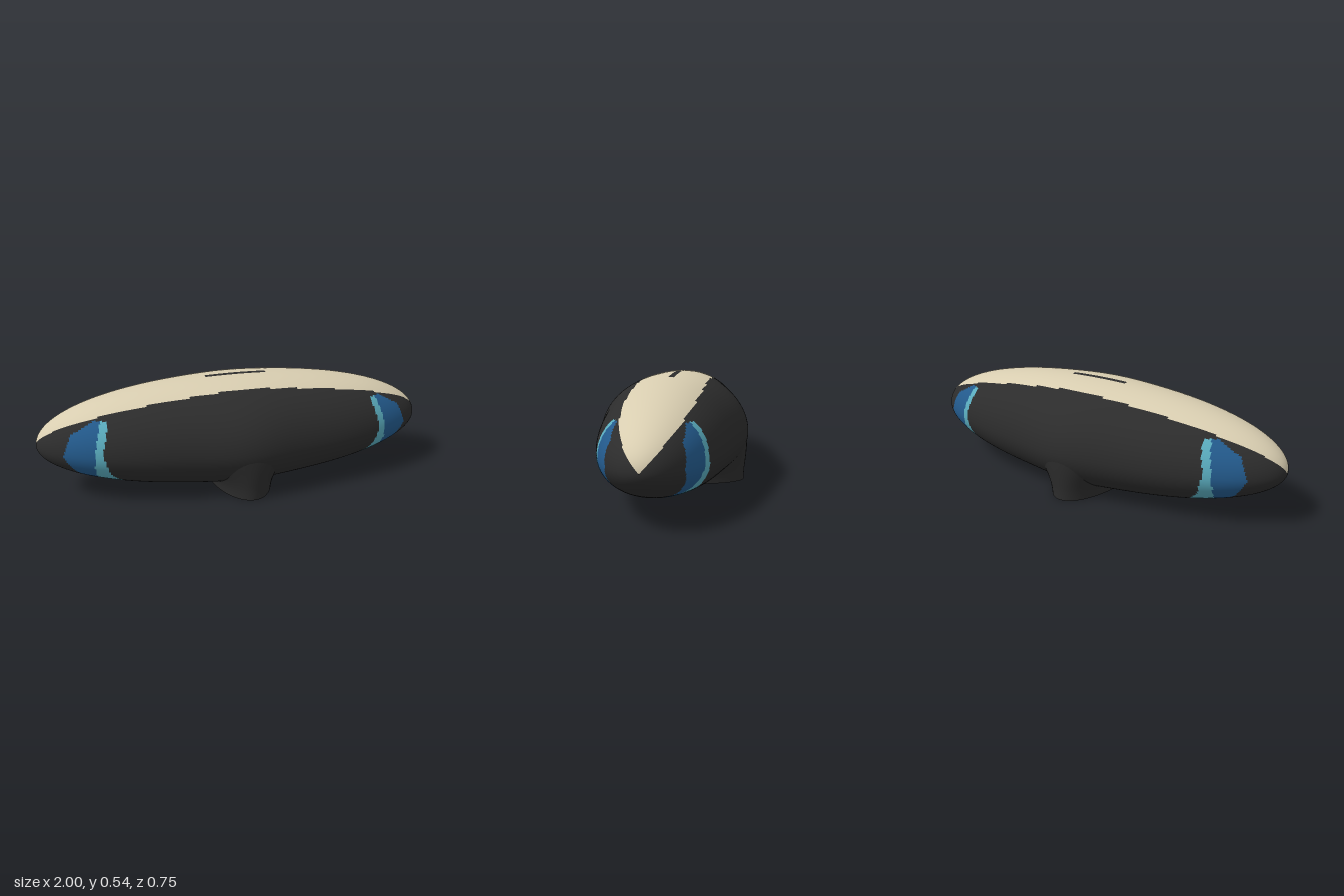
import * as THREE from 'three';

const mat = (name, color) => {
  const m = new THREE.MeshStandardMaterial({ color });
  m.name = name;
  return m;
};

// Piecewise linear lookup through [input, output] pairs
function lookup(pts, v) {
  if (v <= pts[0][0]) return pts[0][1];
  for (let i = 1; i < pts.length; i++) {
    const [a, p] = pts[i - 1], [b, q] = pts[i];
    if (v <= b) return p + (q - p) * (v - a) / (b - a);
  }
  return pts[pts.length - 1][1];
}

// Tube-like grid closed around v; pick(centre) gives the material slot of each cell
function loft(nu, nv, point, pick, slots) {
  const pos = [], buckets = Array.from({ length: slots }, () => []);
  for (let i = 0; i <= nu; i++)
    for (let j = 0; j < nv; j++) pos.push(...point(i / nu, (j / nv) * Math.PI * 2));
  for (let i = 0; i < nu; i++)
    for (let j = 0; j < nv; j++) {
      const k = (j + 1) % nv;
      const a = i * nv + j, b = a + nv, c = (i + 1) * nv + k, d = i * nv + k;
      const mid = point((i + 0.5) / nu, ((j + 0.5) / nv) * Math.PI * 2);
      buckets[pick(mid)].push(a, b, c, a, c, d);
    }
  const geo = new THREE.BufferGeometry();
  geo.setAttribute('position', new THREE.Float32BufferAttribute(pos, 3));
  geo.setIndex(buckets.flat());
  let start = 0;
  buckets.forEach((b, i) => { geo.addGroup(start, b.length, i); start += b.length; });
  geo.computeVertexNormals();
  return geo;
}

// Long oval hull, slightly pinched outward at its waist
function hullPoint(u, phi) {
  const t = (u - 0.5) * Math.PI, x = Math.sin(t), c = Math.max(Math.cos(t), 0.004);
  const halfDepth = c * (0.338 + 0.037 * Math.exp(-((x / 0.22) ** 2)));
  const s = Math.sin(phi);
  const y = 0.242 + 0.015 * x * x + c * s * (s > 0 ? 0.298 : 0.238);
  return [x, y, halfDepth * Math.cos(phi)];
}

// Edges of the side bands: distance from the middle at each height
const paleInner = [[0.03, 0.47], [0.07, 0.58], [0.16, 0.67], [0.27, 0.7], [0.41, 0.665]];
const blueInner = [[0.06, 0.69], [0.12, 0.725], [0.2, 0.74], [0.3, 0.73], [0.41, 0.7]];
const blueOuter = [[0.07, 0.72], [0.1, 0.75], [0.17, 0.83], [0.25, 0.88], [0.35, 0.84], [0.41, 0.73]];

// 0 shell, 1 top panel, 2 deep blue band, 3 pale blue band
function hullColour([x, y, z]) {
  const ax = Math.abs(x), az = Math.abs(z);
  if (y > 0.258 && az < 0.17 * Math.sqrt(1 - ax ** 3))
    return ax < 0.16 && az < 0.012 ? 0 : 1;
  if (az < 0.048 || y > 0.41 || y < 0.03) return 0;
  if (ax < lookup(paleInner, y) || ax > lookup(blueOuter, y)) return 0;
  return ax > lookup(blueInner, y) ? 2 : 3;
}

// Foot outline at each height: y, half width, half depth
const footRings = [[0, 0.16, 0.355], [0.03, 0.165, 0.356], [0.06, 0.176, 0.358], [0.1, 0.2, 0.363],
  [0.14, 0.24, 0.367], [0.18, 0.29, 0.37], [0.21, 0.33, 0.371]];

export function createModel() {
  const shell = mat('charcoal', 0x2c2c2c);
  const cream = mat('cream', 0xd8cdb0);
  const blue = mat('deep blue', 0x235a8c);
  const pale = mat('pale blue', 0x5aacbe);
  const model = new THREE.Group();
  model.name = 'ovalHull';
  const add = (name, geo, material) => {
    const mesh = new THREE.Mesh(geo, material);
    mesh.name = name;
    model.add(mesh);
    return mesh;
  };

  // Hull with top panel and side bands
  add('hull', loft(240, 160, hullPoint, hullColour, 4), [shell, cream, blue, pale]);

  // Flared oval foot blending into the underside
  const n = footRings.length - 1;
  const footPoint = (u, a) => {
    const f = u * n, i = Math.min(Math.floor(f), n - 1);
    const [y, rx, rz] = footRings[i].map((v, k) => v + (footRings[i + 1][k] - v) * (f - i));
    return [rx * Math.cos(a), y, rz * Math.sin(a)];
  };
  add('foot', loft(n * 2, 64, footPoint, () => 0, 1), [shell]);

  // Flat sole
  const sole = new THREE.CircleGeometry(1, 64);
  sole.rotateX(Math.PI / 2);
  sole.scale(0.16, 1, 0.355);
  add('sole', sole, shell);
  return model;
}
